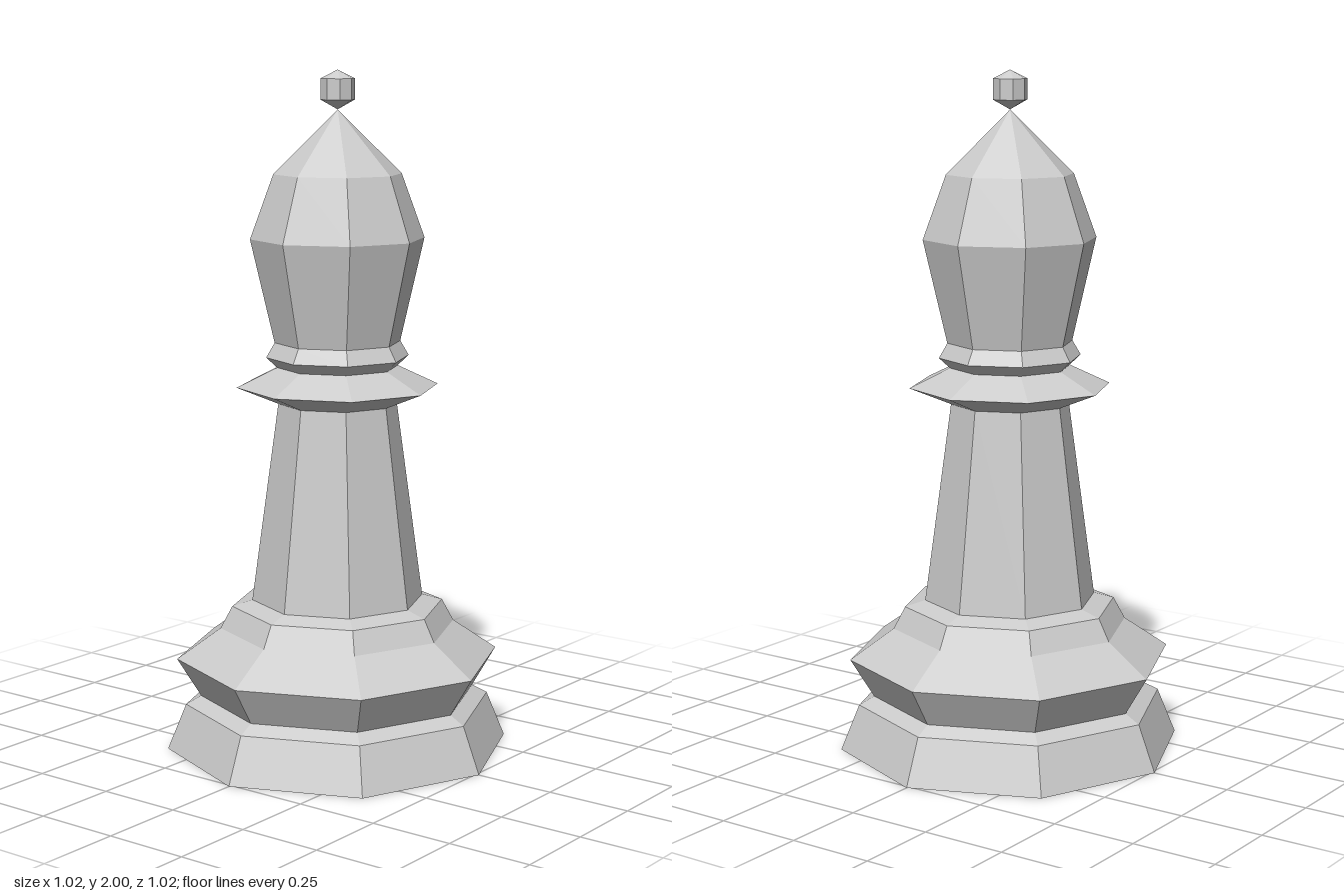
import * as THREE from 'three';

const SIDES = 8;

export function createModel() {
  const model = new THREE.Group();
  model.name = 'chessBishop';
  const material = new THREE.MeshStandardMaterial({ color: 0xcccccc, flatShading: true });

  // Turned eight-sided part from [radius, height] pairs, listed bottom to top
  function turned(name, profile) {
    const points = profile.map(([r, y]) => new THREE.Vector2(r, y));
    const mesh = new THREE.Mesh(new THREE.LatheGeometry(points, SIDES), material);
    mesh.name = name;
    model.add(mesh);
  }

  // Flat-bottomed foot
  turned('foot', [[0, 0], [0.51, 0], [0.455, 0.135], [0.41, 0.16]]);

  // Flared plinth with a stepped shoulder
  turned('plinth', [[0.41, 0.16], [0.48, 0.275], [0.35, 0.365], [0.315, 0.43], [0.255, 0.448]]);

  // Tapered shaft
  turned('shaft', [[0.255, 0.448], [0.175, 1.035]]);

  // Wide sharp collar, then a smaller ring under the head
  turned('collar', [[0.175, 1.035], [0.297, 1.085], [0.178, 1.142]]);
  turned('neckRing', [[0.178, 1.142], [0.21, 1.172], [0.185, 1.215]]);

  // Pointed head
  turned('head', [[0.185, 1.215], [0.255, 1.517], [0.187, 1.703], [0, 1.887]]);

  // Small faceted bead on the tip
  turned('finial', [[0, 1.887], [0.05, 1.915], [0.05, 1.975], [0, 2]]);

  return model;
}
